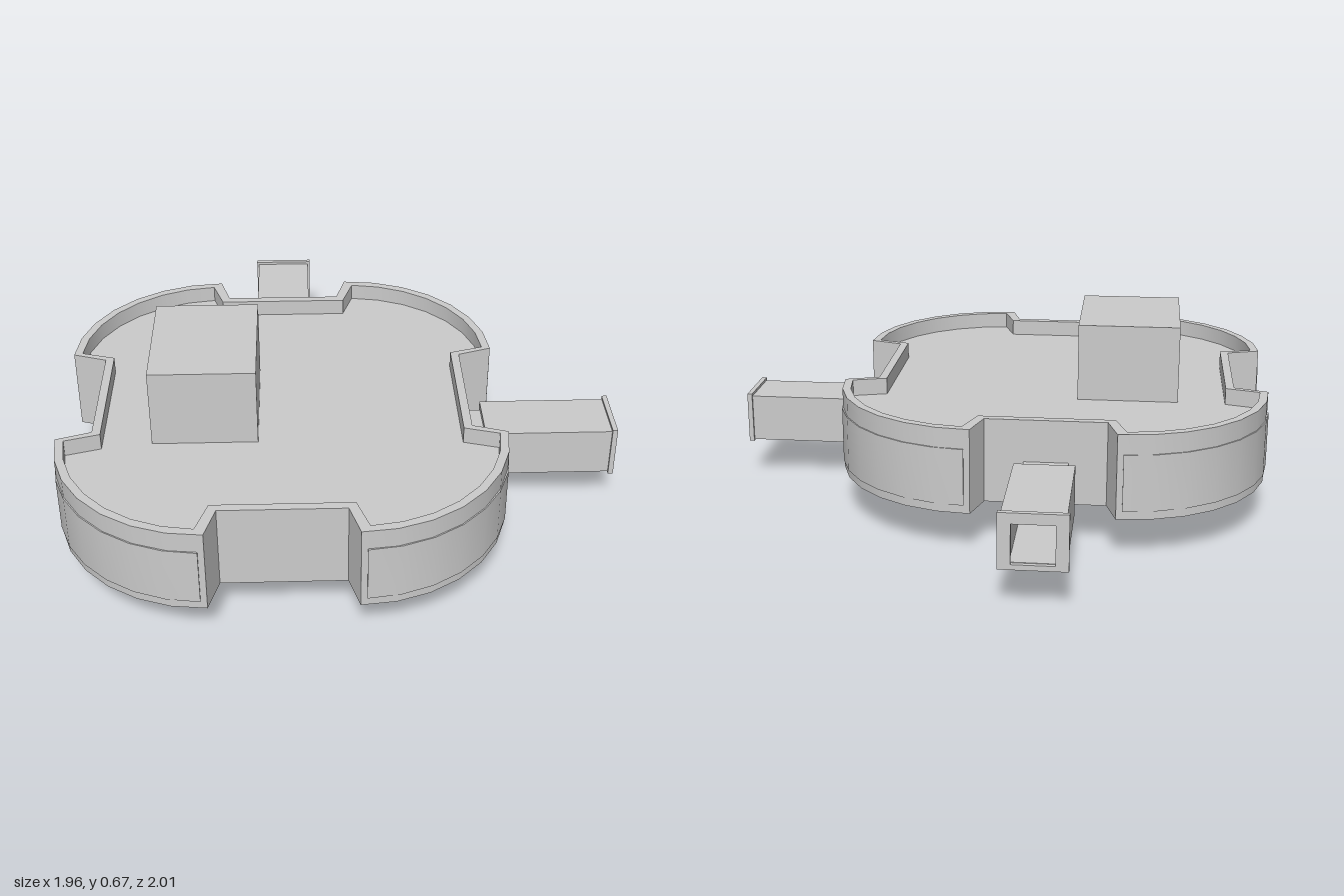
import * as THREE from 'three';
import { toCreasedNormals } from 'three/addons/utils/BufferGeometryUtils.js';

const material = new THREE.MeshStandardMaterial({ color: 0xcccccc, side: THREE.DoubleSide });
const CX = -0.21, CZ = 0.21; // centre of the main building

function addMesh(parent, name, geometry) {
  const mesh = new THREE.Mesh(geometry, material);
  mesh.name = name;
  parent.add(mesh);
  return mesh;
}

function addBox(parent, name, x0, x1, y0, y1, z0, z1) {
  const g = new THREE.BoxGeometry(x1 - x0, y1 - y0, z1 - z0);
  g.translate((x0 + x1) / 2, (y0 + y1) / 2, (z0 + z1) / 2);
  return addMesh(parent, name, g);
}

const toPoints = (list) => list.map(([x, z]) => new THREE.Vector2(x, z));

// Plan shape (x, z) raised from y0 to y1, with optional holes
function slab(outline, y0, y1, holes = []) {
  const shape = new THREE.Shape(toPoints(outline));
  holes.forEach((h) => shape.holes.push(new THREE.Path(toPoints(h))));
  const g = new THREE.ExtrudeGeometry(shape, { depth: y1 - y0, bevelEnabled: false });
  g.rotateX(Math.PI / 2).translate(0, y1, 0);
  return toCreasedNormals(g, 0.5);
}

const rect = (x0, x1, z0, z1) => [[x0, z0], [x1, z0], [x1, z1], [x0, z1]];

function arc(r, a0, a1, n = 7) {
  const pts = [];
  for (let i = 0; i <= n; i++) {
    const a = a0 + ((a1 - a0) * i) / n;
    pts.push([0.245 + r * Math.cos(a), 0.27 + r * Math.sin(a)]);
  }
  return pts;
}

// Four round corner lobes joined by straight recessed walls
function castleOutline(r, a0, a1, sideX, sideHalf, endZ, endHalf) {
  const quarter = [[sideX, sideHalf], ...arc(r, a0, a1), [endHalf, endZ]];
  const out = [];
  [[1, 1], [-1, 1], [-1, -1], [1, -1]].forEach(([sx, sz]) => {
    const pts = quarter.map(([x, z]) => [CX + sx * x, CZ + sz * z]);
    out.push(...(sx * sz > 0 ? pts : pts.reverse()));
  });
  return out;
}

// Hollow entrance passage along local +z, from the wall to the outer frame
function passage(name, start, end) {
  const g = new THREE.Group();
  g.name = name;
  const tube = (part, w, y0, y1, hw, h0, h1, z0, z1) => {
    const s = new THREE.Shape(toPoints([[-w, y0], [w, y0], [w, y1], [-w, y1]]));
    s.holes.push(new THREE.Path(toPoints([[-hw, h0], [hw, h0], [hw, h1], [-hw, h1]])));
    const geo = new THREE.ExtrudeGeometry(s, { depth: z1 - z0, bevelEnabled: false });
    addMesh(g, part, geo.translate(0, 0, z0));
  };
  tube('passageNeck', 0.077, 0.15, 0.3, 0.07, 0.157, 0.293, start, start + 0.085);
  tube('passageBody', 0.104, 0.145, 0.32, 0.075, 0.16, 0.293, start + 0.08, end - 0.015);
  tube('passageFrame', 0.112, 0.14, 0.33, 0.07, 0.158, 0.293, end - 0.018, end);
  return g;
}

export function createModel() {
  const model = new THREE.Group();
  model.name = 'fortress';

  // Outer walls with parapet, roof deck and floor
  const outer = castleOutline(0.525, 0, Math.PI / 2, 0.65, 0.23, 0.675, 0.21);
  const inner = castleOutline(0.495, 0.02, Math.PI / 2 - 0.06, 0.62, 0.245, 0.645, 0.235);
  addMesh(model, 'outerWall', slab(outer, 0.15, 0.45, [inner]));
  const stairwell = rect(-0.64, -0.315, 0, 0.41);
  const hatch = rect(-0.29, -0.13, 0.15, 0.33);
  addMesh(model, 'roofDeck', slab(inner, 0.375, 0.39, [stairwell]));
  addMesh(model, 'floor', slab(inner, 0.15, 0.165, [stairwell, hatch]));
  addMesh(model, 'hatchFrame', slab(rect(-0.33, -0.1, 0.1, 0.38), 0.14, 0.151, [hatch]));

  // Thin curved panels on the four lobes
  const band = [...arc(0.529, 0.04, Math.PI / 2 - 0.04), ...arc(0.52, 0.04, Math.PI / 2 - 0.04).reverse()];
  [[1, 1], [-1, 1], [-1, -1], [1, -1]].forEach(([sx, sz]) => {
    const pts = band.map(([x, z]) => [CX + sx * x, CZ + sz * z]);
    addMesh(model, 'lobePanel', slab(pts, 0.18, 0.38));
  });

  // Stair house on the roof, with a doorway in its -x wall
  const hut = new THREE.Group();
  hut.name = 'stairHouse';
  model.add(hut);
  const x0 = -0.66, x1 = -0.295, z0 = -0.03, z1 = 0.43, t = 0.02, base = 0.385, top = 0.67;
  addBox(hut, 'hutRoof', x0, x1, top - t, top, z0, z1);
  addBox(hut, 'hutWall', x1 - t, x1, base, top - t, z0, z1);
  addBox(hut, 'hutWall', x0, x1 - t, base, top - t, z0, z0 + t);
  addBox(hut, 'hutWall', x0, x1 - t, base, top - t, z1 - t, z1);
  const doorWall = new THREE.Shape(toPoints([
    [z0 + t, base], [0.01, base], [0.01, 0.57], [0.12, 0.57],
    [0.12, base], [z1 - t, base], [z1 - t, top - t], [z0 + t, top - t],
  ]));
  const doorGeo = new THREE.ExtrudeGeometry(doorWall, { depth: t, bevelEnabled: false });
  addMesh(hut, 'hutDoorWall', doorGeo.rotateY(-Math.PI / 2).translate(x0 + t, 0, 0));

  // Stairs rising to the doorway between two stringers
  const stairs = new THREE.Group();
  stairs.name = 'stairs';
  model.add(stairs);
  const steps = 10;
  for (let i = 0; i < steps; i++) {
    const x = -0.32 - (i * 0.32) / steps;
    const y = 0.17 + (i * 0.22) / steps;
    addBox(stairs, 'step', x - 0.032, x, y - 0.022, y, 0.005, 0.185);
  }
  const stringer = new THREE.Shape(toPoints([[-0.65, 0.15], [-0.44, 0], [-0.44, 0.24], [-0.64, 0.38]]));
  [0, 0.186].forEach((z) => {
    const g = new THREE.ExtrudeGeometry(stringer, { depth: 0.005, bevelEnabled: false });
    addMesh(stairs, 'stringer', g.translate(0, 0, z));
  });

  // Entrance passages on the +x and back sides
  const side = passage('sidePassage', 0.43, 0.98);
  side.rotation.y = Math.PI / 2;
  side.position.z = 0.205;
  const back = passage('backPassage', 0.46, 1);
  back.rotation.y = Math.PI;
  back.position.x = -0.212;
  model.add(side, back);

  return model;
}
